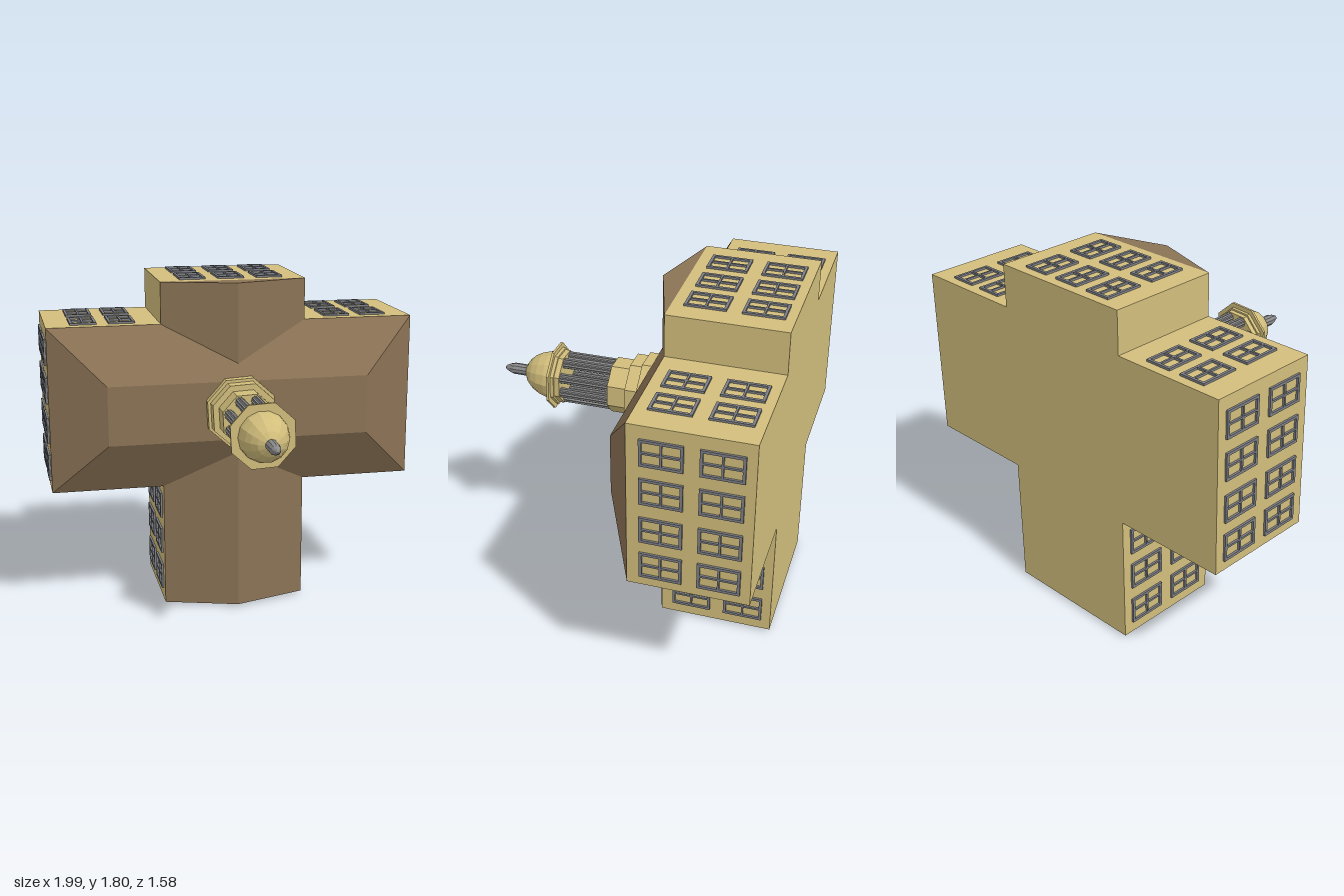
import * as THREE from 'three';

const mat = (color) => new THREE.MeshStandardMaterial({ color, flatShading: true });
const stone = mat(0xd2be7c), roofing = mat(0x8b7355), metal = mat(0x8a8a8a), frame = mat(0x7c7e84);

const BACK = -0.79, EAVES = -0.2, CY = 1.125; // building lies on its back, its top faces +z
const WING = { x: 0.985, y0: 0.685, y1: 1.57 };
const NAVE = { x: 0.388, y0: 0.01, y1: 1.79 };

function add(parent, name, geometry, material) {
  const mesh = new THREE.Mesh(geometry, material);
  mesh.name = name;
  parent.add(mesh);
  return mesh;
}

function polygon(points) {
  return new THREE.Shape(points.map(([x, y]) => new THREE.Vector2(x, y)));
}

// Frame with four open panes, facing +z
function windowGeometry() {
  const w = 0.07, h = 0.102, edge = 0.014, bar = 0.005;
  const shape = polygon([[-w, -h], [w, -h], [w, h], [-w, h]]);
  for (const sx of [-1, 1]) for (const sy of [-1, 1]) {
    const a = sx * bar, b = sx * (w - edge), c = sy * bar, d = sy * (h - edge);
    shape.holes.push(new THREE.Path([[a, c], [b, c], [b, d], [a, d]].map(([x, y]) => new THREE.Vector2(x, y))));
  }
  return new THREE.ExtrudeGeometry(shape, { depth: 0.011, bevelEnabled: false });
}

function addWindows(root) {
  const geo = windowGeometry();
  const rows = [-0.363, -0.64];
  const group = new THREE.Group();
  group.name = 'windows';
  root.add(group);
  // window height runs along z; the normal points along (nx, ny)
  const place = (x, y, nx, ny) => rows.forEach((z) => {
    const m = add(group, 'window', geo, frame);
    const normal = new THREE.Vector3(nx, ny, 0), up = new THREE.Vector3(0, 0, 1);
    const side = new THREE.Vector3().crossVectors(up, normal);
    m.quaternion.setFromRotationMatrix(new THREE.Matrix4().makeBasis(side, up, normal));
    m.position.set(x, y, z);
  });
  for (const s of [-1, 1]) {
    for (const y of [0.807, 1.01, 1.225, 1.433]) place(s * WING.x, y, s, 0);
    for (const y of [0.14, 0.35, 0.555]) place(s * NAVE.x, y, s, 0);
    for (const x of [0.585, 0.787]) {
      place(s * x, WING.y1, 0, 1);
      place(s * x, WING.y0, 0, -1);
    }
  }
  for (const x of [-0.207, 0, 0.207]) {
    place(x, NAVE.y1, 0, 1);
    place(x, NAVE.y0, 0, -1);
  }
}

// Cross-shaped walls
function wallGeometry() {
  const { x: a, y0: b, y1: c } = WING, { x: n, y0: d, y1: e } = NAVE;
  const shape = polygon([[-n, d], [n, d], [n, b], [a, b], [a, c], [n, c],
    [n, e], [-n, e], [-n, c], [-a, c], [-a, b], [-n, b]]);
  return new THREE.ExtrudeGeometry(shape, { depth: EAVES - BACK, bevelEnabled: false }).translate(0, 0, BACK);
}

// Hipped roof: a box whose top face is drawn in
function hipGeometry() {
  const h = 0.17;
  const g = new THREE.BoxGeometry(2 * WING.x, WING.y1 - WING.y0, h);
  const p = g.attributes.position;
  for (let i = 0; i < p.count; i++) {
    if (p.getZ(i) > 0) p.setXY(i, Math.sign(p.getX(i)) * 0.695, Math.sign(p.getY(i)) * 0.157);
  }
  g.computeVertexNormals();
  return g.translate(0, (WING.y0 + WING.y1) / 2, EAVES + h / 2);
}

// Gabled roof running the length of the nave
function gableGeometry() {
  const shape = polygon([[-NAVE.x, -EAVES], [0, 0.08], [NAVE.x, -EAVES]]);
  const g = new THREE.ExtrudeGeometry(shape, { depth: NAVE.y1 - NAVE.y0, bevelEnabled: false });
  return g.rotateX(-Math.PI / 2).translate(0, NAVE.y0, 0);
}

function flutedColumn(z0, z1) {
  const pts = [];
  for (let i = 0; i < 20; i++) {
    const a = (i * Math.PI) / 10, r = i % 2 ? 0.022 : 0.027;
    pts.push([r * Math.cos(a), r * Math.sin(a)]);
  }
  return new THREE.ExtrudeGeometry(polygon(pts), { depth: z1 - z0, bevelEnabled: false }).translate(0, 0, z0);
}

function createCupola() {
  const cupola = new THREE.Group();
  cupola.name = 'cupola';
  cupola.position.set(0, CY, 0);
  const twist = Math.PI / 8 + 0.05;

  // Octagonal tiers: name, radius, bottom, top
  const tiers = [
    ['baseStep', 0.193, -0.05, 0.008], ['middleStep', 0.176, 0.008, 0.073], ['drum', 0.143, 0.073, 0.176],
    ['architrave', 0.14, 0.44, 0.467], ['cornice', 0.15, 0.467, 0.485], ['corniceRim', 0.175, 0.485, 0.498],
  ];
  for (const [name, r, z0, z1] of tiers) {
    const g = new THREE.CylinderGeometry(r, r, z1 - z0, 8).rotateY(twist).rotateX(Math.PI / 2);
    add(cupola, name, g.translate(0, 0, (z0 + z1) / 2), stone);
  }

  // Ring of columns
  const columnGeo = flutedColumn(0.17, 0.445);
  for (let i = 0; i < 8; i++) {
    const a = twist + (i * Math.PI) / 4;
    add(cupola, 'column', columnGeo, metal).position.set(0.108 * Math.cos(a), 0.108 * Math.sin(a), 0);
  }

  // Faceted dome
  const dome = new THREE.SphereGeometry(0.129, 14, 6, 0, 2 * Math.PI, 0, Math.PI / 2);
  add(cupola, 'dome', dome.scale(1, 1.4, 1).rotateX(Math.PI / 2).translate(0, 0, 0.488), stone);

  // Finial
  const profile = [[0.03, 0.64], [0.03, 0.735], [0.024, 0.757], [0.012, 0.782], [0, 0.79]];
  const finial = new THREE.LatheGeometry(profile.map(([r, z]) => new THREE.Vector2(r, z)), 10);
  add(cupola, 'finial', finial.rotateX(Math.PI / 2), metal);
  return cupola;
}

export function createModel() {
  const root = new THREE.Group();
  root.name = 'building';
  add(root, 'walls', wallGeometry(), stone);
  add(root, 'hippedRoof', hipGeometry(), roofing);
  add(root, 'gabledRoof', gableGeometry(), roofing);
  addWindows(root);
  root.add(createCupola());
  return root;
}
